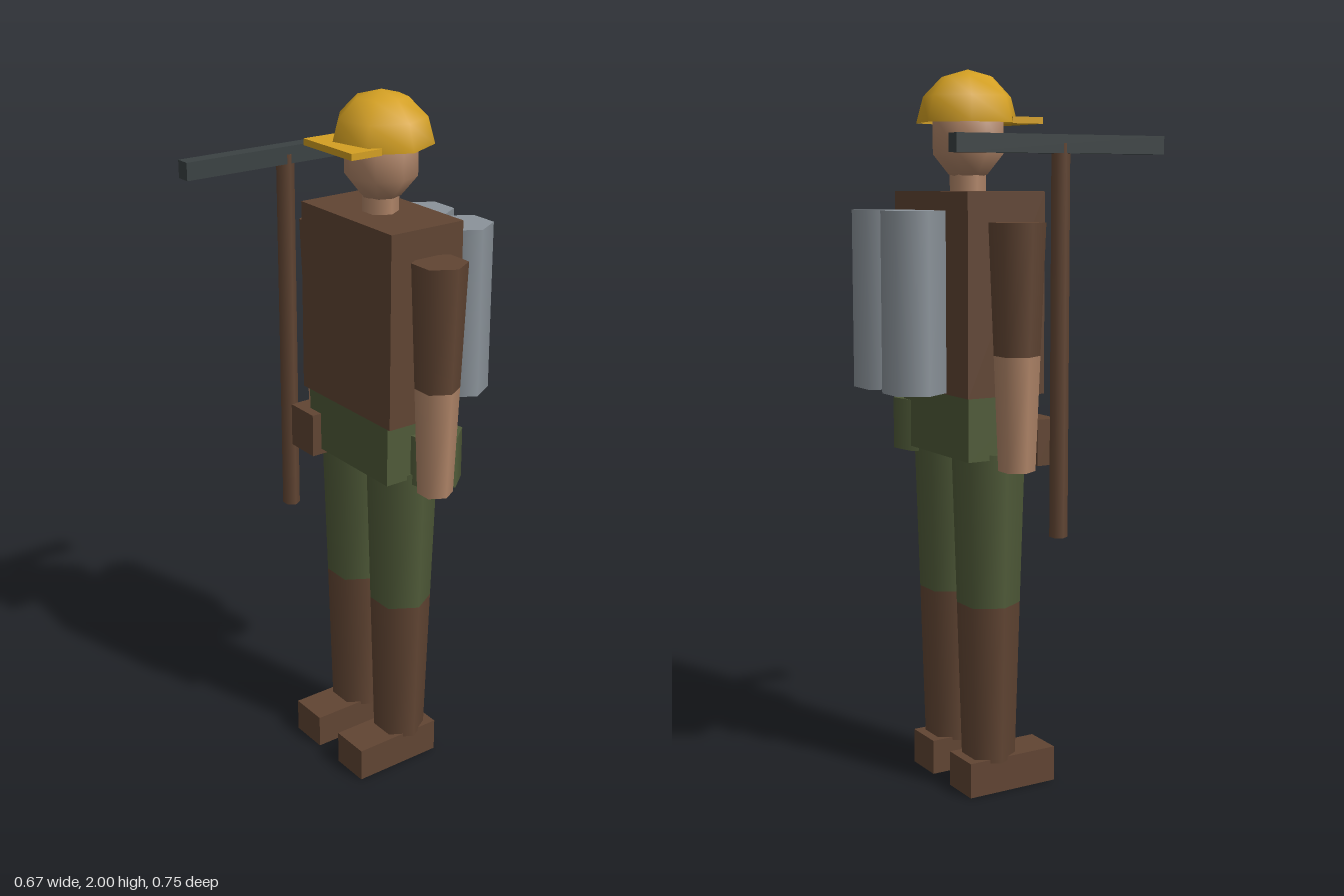
import * as THREE from 'three';

const material = (name, color, side = THREE.FrontSide) => {
  const m = new THREE.MeshStandardMaterial({ color, side });
  m.name = name;
  return m;
};

export function createModel() {
  const brown = material('brown leather', 0x614533);
  const green = material('olive cloth', 0x505b39);
  const skin = material('skin', 0xb08568);
  const yellow = material('yellow helmet', 0xd4a022, THREE.DoubleSide);
  const grey = material('tank grey', 0x8b939a);
  const iron = material('dark iron', 0x3b4243);

  const model = new THREE.Group();
  model.name = 'miner';
  const Z = -0.083; // depth of the body axis

  const add = (name, geometry, mat, parent = model) => {
    const mesh = new THREE.Mesh(geometry, mat);
    mesh.name = name;
    parent.add(mesh);
    return mesh;
  };
  // Box given by its limits on each axis
  const box = (name, mat, [x0, x1], [y0, y1], [z0, z1], parent) => {
    const mesh = add(name, new THREE.BoxGeometry(x1 - x0, y1 - y0, z1 - z0), mat, parent);
    mesh.position.set((x0 + x1) / 2, (y0 + y1) / 2, (z0 + z1) / 2);
    return mesh;
  };
  // Upright six-sided cylinder, corners pointing along x
  const hex = (name, mat, x, z, [y0, y1], [r0, r1], parent) => {
    const mesh = add(name, new THREE.CylinderGeometry(r1, r0, y1 - y0, 6), mat, parent);
    mesh.position.set(x, (y0 + y1) / 2, z);
    mesh.rotation.y = Math.PI / 6;
    return mesh;
  };

  // Trunk
  box('torso', brown, [-0.205, 0.205], [1.13, 1.675], [-0.202, 0.036]);
  box('hips', green, [-0.185, 0.185], [0.955, 1.13], [-0.19, 0.028]);

  // Limbs and tanks, mirrored left and right
  for (const [side, s] of [['left', 1], ['right', -1]]) {
    const leg = new THREE.Group();
    leg.name = side + 'Leg';
    hex('trouser', green, s * 0.108, Z, [0.54, 0.97], [0.088, 0.101], leg);
    hex('legging', brown, s * 0.108, Z, [0.09, 0.54], [0.075, 0.088], leg);
    const bx = s * 0.108;
    box('boot', brown, [bx - 0.059, bx + 0.059], [0, 0.1], [-0.175, 0.101], leg);

    const arm = new THREE.Group();
    arm.name = side + 'Arm';
    hex('sleeve', brown, s * 0.258, Z, [1.245, 1.595], [0.062, 0.076], arm);
    hex('forearm', skin, s * 0.258, Z, [0.935, 1.245], [0.05, 0.062], arm);

    model.add(leg, arm);
    hex(side + 'Tank', grey, s * 0.086, -0.3, [1.14, 1.625], [0.086, 0.086]);
  }

  // Head
  hex('neck', skin, 0, Z, [1.66, 1.76], [0.05, 0.05]);
  const profile = [[0, 1.7], [0.055, 1.72], [0.1, 1.775], [0.1, 1.87], [0.05, 1.93], [0, 1.935]];
  const head = add('head', new THREE.LatheGeometry(profile.map(p => new THREE.Vector2(...p)), 8), skin);
  head.position.z = Z;

  // Seven-sided helmet dome with a front brim
  const dome = add('helmetDome',
    new THREE.SphereGeometry(0.143, 7, 3, 0, Math.PI * 2, 0, Math.PI / 2), yellow);
  dome.position.set(0, 1.858, Z);
  dome.rotation.y = Math.PI;
  box('helmetBrim', yellow, [-0.108, 0.108], [1.856, 1.874], [-0.005, 0.091]);

  // Belt gear
  box('beltPouch', brown, [-0.24, -0.131], [0.938, 1.065], [-0.006, 0.057]);
  const canteen = hex('canteen', green, 0.195, -0.127, [0.94, 1.087], [0.082, 0.082]);
  canteen.rotation.y = THREE.MathUtils.degToRad(40);

  // Long tool held upright at the right hand
  hex('toolHandle', brown, -0.26, 0.05, [0.74, 1.8], [0.025, 0.025]);
  box('toolHead', iron, [-0.282, -0.239], [1.774, 1.823], [-0.278, 0.372]);

  return model;
}
